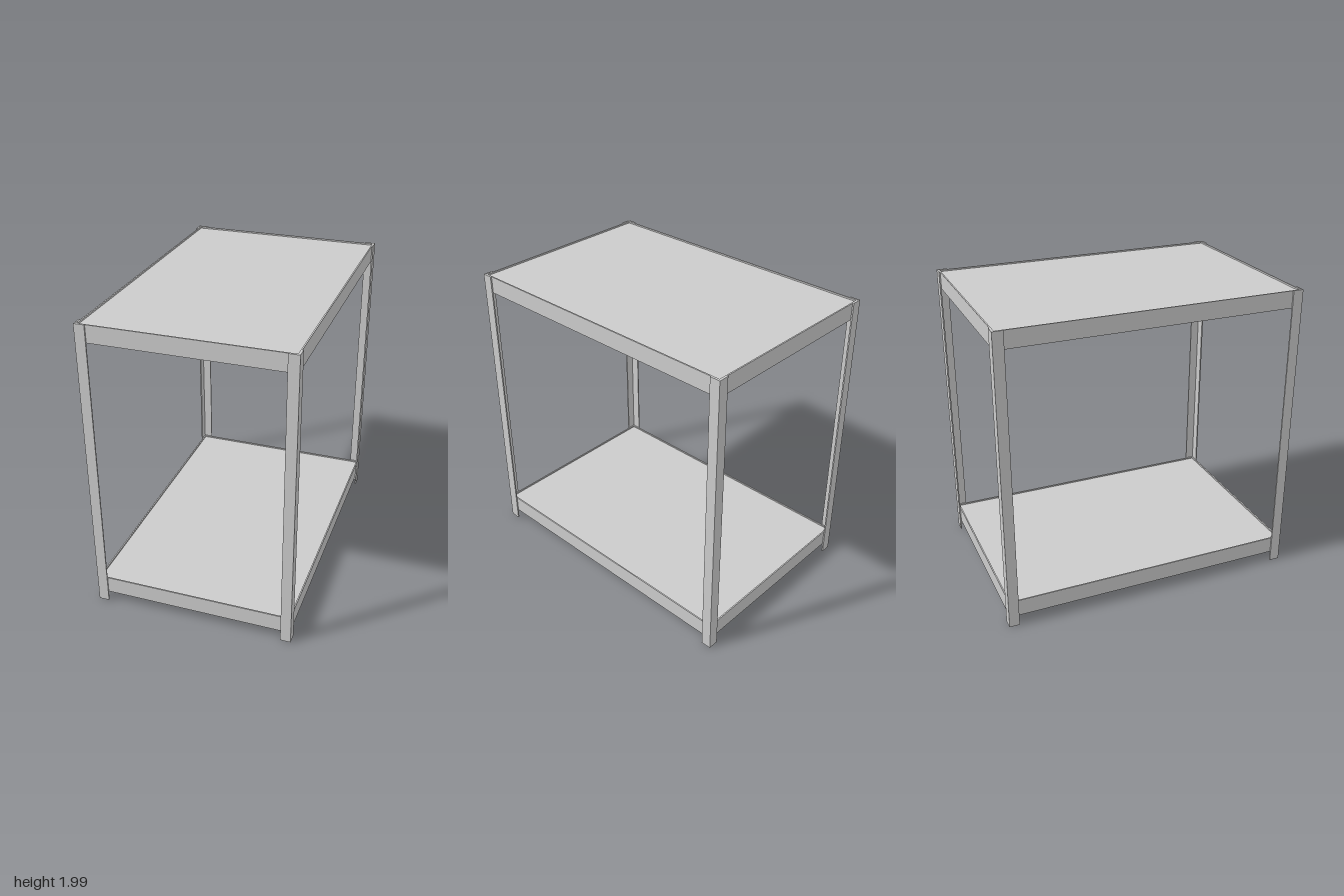
import * as THREE from 'three';

const mat = new THREE.MeshStandardMaterial({ color: 0xcccccc, flatShading: true });

function box(name, w, h, d, x, y, z) {
  const m = new THREE.Mesh(new THREE.BoxGeometry(w, h, d), mat);
  m.position.set(x, y, z);
  m.name = name;
  return m;
}

export function createModel() {
  const W = 0.664, D = 0.996, H = 1.985; // half width, half depth, height
  const T = 0.009, LEG = 0.068, RAIL = 0.113; // sheet thickness, flange and rail widths
  const rack = new THREE.Group();
  rack.name = 'shelfRack';

  // L-section corner posts, flanges pointing inwards
  const angle = new THREE.Shape([
    [0, 0], [LEG, 0], [LEG, T], [T, T], [T, LEG], [0, LEG],
  ].map(([x, y]) => new THREE.Vector2(x, y)));
  const postGeo = new THREE.ExtrudeGeometry(angle, { depth: H, bevelEnabled: false });
  postGeo.rotateX(-Math.PI / 2);
  const corners = [[-W, D, 0], [W, D, 1], [W, -D, 2], [-W, -D, 3]];
  for (const [x, z, turn] of corners) {
    const post = new THREE.Mesh(postGeo, mat);
    post.position.set(x, 0, z);
    post.rotation.y = turn * Math.PI / 2;
    post.name = 'cornerPost';
    rack.add(post);
  }

  // Tray shelves: four rails around a slightly sunken panel
  const w = W - T, d = D - T;
  for (const [name, top] of [['lowerShelf', 0.181], ['upperShelf', H - 0.002]]) {
    const shelf = new THREE.Group();
    shelf.name = name;
    const y = top - RAIL / 2;
    for (const s of [-1, 1]) {
      shelf.add(box('endRail', 2 * w, RAIL, T, 0, y, s * (d - T / 2)));
      shelf.add(box('sideRail', T, RAIL, 2 * (d - T), s * (w - T / 2), y, 0));
    }
    shelf.add(box('panel', 2 * (w - T), 0.016, 2 * (d - T), 0, top - 0.018, 0));
    rack.add(shelf);
  }

  // The frame stands very slightly turned
  rack.rotation.y = -0.006;
  const model = new THREE.Group();
  model.name = 'shelvingUnit';
  model.add(rack);
  return model;
}
